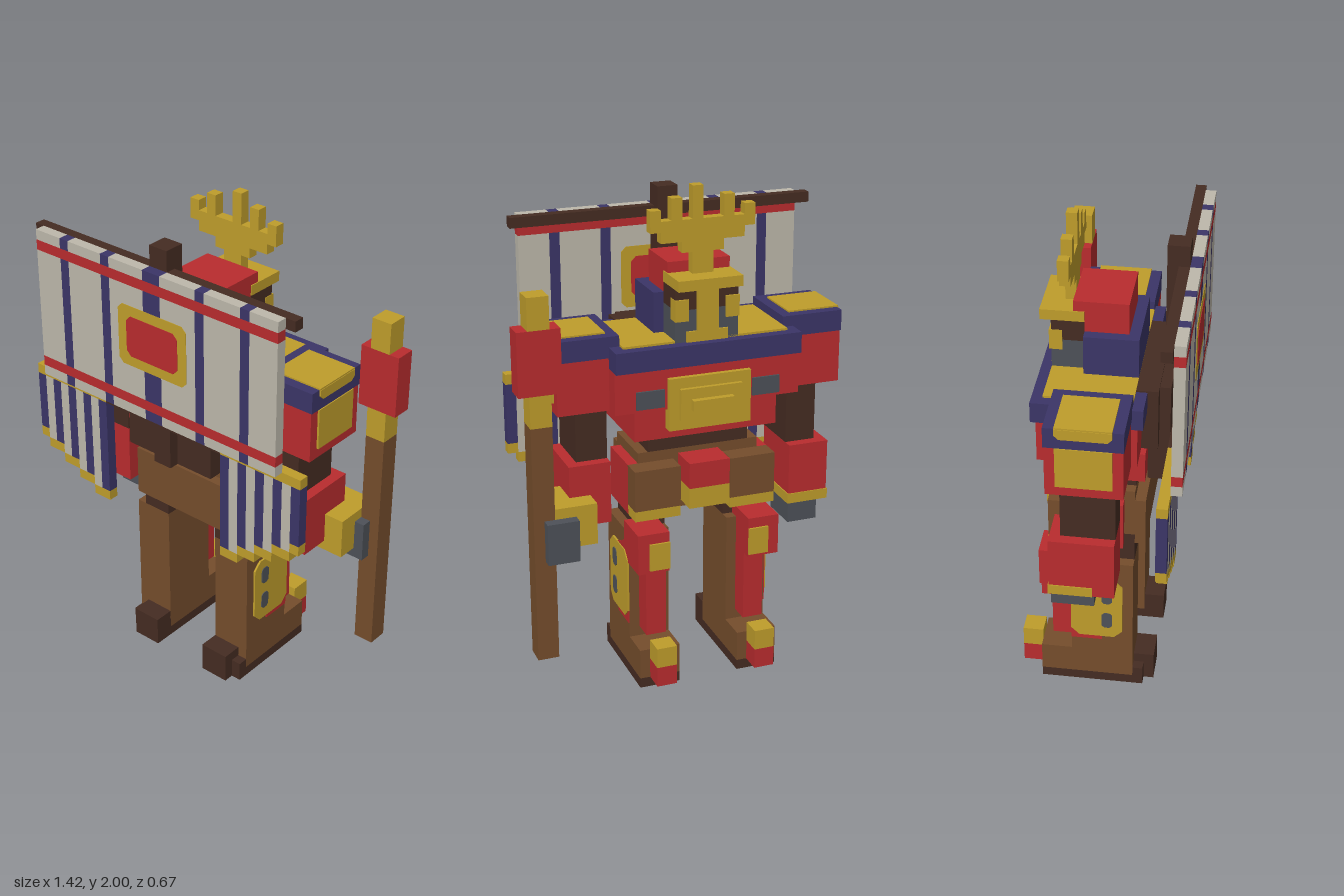
import * as THREE from 'three';

const U = 1 / 24; // one block

const mat = (name, color) => Object.assign(new THREE.MeshStandardMaterial({ color }), { name });

export function createModel() {
  const red = mat('red', 0xb92c2e), gold = mat('gold', 0xbf9d2b), blue = mat('blue', 0x3b3567);
  const dark = mat('dark brown', 0x452c22), brown = mat('brown', 0x754d2c);
  const cloth = mat('cloth', 0xbdb8ab), grey = mat('grey', 0x4d5158);

  const model = new THREE.Group();
  model.name = 'bannerWarrior';

  // Block from its limits, in block units
  function box(name, m, x0, x1, y0, y1, z0, z1) {
    const mesh = new THREE.Mesh(new THREE.BoxGeometry(x1 - x0, y1 - y0, z1 - z0), m);
    mesh.position.set((x0 + x1) / 2, (y0 + y1) / 2, (z0 + z1) / 2);
    mesh.name = name;
    model.add(mesh);
    return mesh;
  }
  // The same block on both sides of the body's middle plane x = -1
  function pair(name, m, x0, x1, ...rest) {
    box(name + 'Left', m, x0, x1, ...rest);
    box(name + 'Right', m, -2 - x1, -2 - x0, ...rest);
  }
  // Thin extruded outline; side plates are drawn with (-z, y)
  function plate(name, m, points, at, depth, sideways) {
    const shape = new THREE.Shape(points.map(p => new THREE.Vector2(...p)));
    const geo = new THREE.ExtrudeGeometry(shape, { depth, bevelEnabled: false });
    if (sideways) geo.rotateY(Math.PI / 2).translate(at, 0, 0);
    else geo.translate(0, 0, at);
    const mesh = new THREE.Mesh(geo, m);
    mesh.name = name;
    model.add(mesh);
  }
  const cut = (a0, a1, b0, b1, c) => [[a0 + c, b0], [a1 - c, b0], [a1, b0 + c], [a1, b1 - c],
    [a1 - c, b1], [a0 + c, b1], [a0, b1 - c], [a0, b0 + c]];
  function sidePlates(name, m, points, x, t) {
    plate(name + 'Left', m, points, x, t, true);
    plate(name + 'Right', m, points, -2 - x - t, t, true);
  }

  // Feet and legs
  pair('sole', dark, 2, 6, 0, 1, -6, 4);
  pair('heelWrap', dark, 2, 6, 1, 2, 3, 4);
  pair('heelBlock', dark, 2, 5, 0, 3, 3.02, 5);
  pair('foot', brown, 2, 6, 1, 4, -6, -3);
  pair('leg', brown, 2, 6, 1, 15, -3, 3);
  pair('toeLower', red, 3, 5, 1, 3, -8, -6);
  pair('toeCap', gold, 3, 5, 3, 5, -8, -6);
  pair('shinGuard', red, 3, 5, 5, 12, -5, -3);
  pair('kneeGuard', red, 3, 6.1, 12, 16, -6, -2);
  pair('kneePlate', gold, 3, 5, 12.3, 15, -6.2, -6);
  pair('thigh', dark, 2, 5, 15, 18, -2, 3);
  sidePlates('legArmour', red, [[0, 5.5], [3, 5.5], [3, 14], [2, 14], [1, 13.4], [0, 13]], 6, 0.1);
  sidePlates('legPanel', gold, cut(-2, 3, 6, 13, 0.8), 6, 0.2);
  for (const y of [7.2, 10.2]) sidePlates('legSlot', grey, cut(-1, 0, y, y + 1.8, 0.25), 6.1, 0.18);

  // Hips
  box('pelvis', brown, -7, 5, 17, 23, -3, 3);
  box('backHipPlate', brown, -7, 5, 17, 22, 3, 4);
  pair('hipPlate', red, 5, 6, 17, 22, -3, 2);
  pair('tasset', brown, 1.5, 6, 18, 22, -5, -3);
  pair('tassetTrim', gold, 1.5, 6, 17, 18, -5, -3);
  box('beltPlate', red, -3, 1, 20, 22.5, -6, -3);
  box('beltPlateTrim', gold, -3, 1, 18, 20, -6, -3);

  // Waist and chest
  box('waist', dark, -6, 4, 23, 28, -3, 3);
  box('lowerChest', red, -8, 6, 25, 28, -5, 4);
  box('upperChest', red, -10, 8, 28, 32, -5.5, 3.5);
  box('collar', blue, -10, 8, 32, 34, -6, 4);
  box('collarTop', gold, -9, 7, 34, 34.2, -5, 3);
  box('chestEmblem', gold, -5, 3, 26, 31, -6, -5);
  box('emblemRaised', gold, -4, 2, 27, 30, -6.4, -6);
  box('emblemBar', gold, -3, 1, 28, 29, -7, -6.4);
  pair('chestVent', grey, 3.3, 6, 28.3, 30, -5.7, -5.5);

  // Backpack and pole
  box('packFrame', dark, -7, 5, 28, 34.15, 3, 5);
  box('pack', dark, -6, 4, 24, 34, 4, 6);
  box('pole', dark, -2, 0, 24, 46, 5, 7);

  // Shoulders and arms
  pair('shoulderPad', red, 7, 12.9, 28, 33, -3.95, 2.95);
  pair('shoulderCap', blue, 7, 13, 33, 35, -4, 3);
  pair('shoulderTop', gold, 8, 13.1, 34.9, 35.15, -3, 2);
  sidePlates('shoulderEdge', gold, [[-1.6, 34], [2.6, 34], [3, 34.4], [3, 35], [-2, 35], [-2, 34.4]], 13, 0.15);
  sidePlates('shoulderPanel', gold, cut(-2, 3, 29, 33, 0.01), 12.9, 0.2);
  pair('upperArm', dark, 8, 11, 22, 28, -3, 2);
  box('leftForearm', red, 8, 12, 17, 23, -4, 2);
  box('leftCuff', gold, 10, 14, 16, 20, -6, -1);
  box('leftHand', grey, 12, 15, 15, 19, -7, -3);
  box('rightForearm', red, -14, -10, 16, 22, -4, 2);
  box('rightCuff', gold, -14.1, -9.9, 16, 17, -4.1, 0);
  box('rightHand', grey, -13, -10, 14, 16, -4, 0);

  // Staff
  box('staffShaft', brown, 14, 16, 5, 28, -6, -4);
  box('staffCollar', gold, 14, 16, 28, 31, -6, -4);
  box('staffHead', red, 13, 17, 31, 37, -6, -4);
  box('staffTip', gold, 14, 16, 37, 40, -6, -4);

  // Head
  box('helmet', red, -4, 2, 34, 41, -3, 2);
  box('neckGuard', blue, -5, 3, 34, 36, 1, 3);
  box('backGuard', blue, -4, 2, 36, 38, 2, 3);
  pair('earGuard', blue, 2, 3, 34, 38, -2, 3);
  box('mask', grey, -4.05, 2.05, 34, 37, -5, -2);
  box('eyeBand', dark, -4.05, 2.05, 37, 39, -5, -2);
  box('brow', gold, -4.1, 2.1, 39, 40, -6, -2);
  box('noseGuard', gold, -2, 0, 35, 39, -5.4, -5);
  pair('cheekPlate', gold, 0.8, 2.1, 36, 38, -5.2, -4);
  box('chinPlate', gold, -3, 1, 34, 35, -5.2, -5);

  // Antler crest: [x0, x1, y0, y1]
  for (const [x0, x1, y0, y1] of [[-2, 0, 40, 42], [-3, 1, 42, 43], [-5, 3, 43, 44], [-6, 4, 44, 45],
    [-6, -5, 45, 46], [-4, -3, 45, 47], [-1, 0, 45, 48], [1, 2, 45, 47], [3, 4, 45, 46]])
    box('crest', gold, x0, x1, y0, y1, -4, -3);

  // Banner: striped cloth between two red bands
  box('bannerBar', dark, -16, 14, 43, 44, 6, 7);
  const edges = [-15, -12, -11, -7, -6, -2, 0, 4, 5, 9, 10, 13];
  for (const [y0, y1] of [[29, 30], [31, 42], [43, 44]])
    for (let i = 0; i < edges.length - 1; i++)
      box('bannerCloth', i % 2 ? blue : cloth, edges[i], edges[i + 1], y0, y1, 7, 8);
  for (const y of [30, 42]) box('bannerBand', red, -15, 13, y, y + 1, 7, 8);
  plate('bannerFrame', gold, cut(-5, 3, 34, 40, 0.5), 6.95, 1.1);
  plate('bannerCentre', red, cut(-4, 2, 35, 39, 0.5), 6.9, 1.2);

  // Stepped side skirts hung from a bar
  box('skirtBar', dark, -8, 6, 28, 29, 6, 7);
  pair('skirtTop', gold, 6, 15, 28, 29, 6, 7);
  for (let i = 0; i < 9; i++) {
    const bottom = 17 + Math.floor(i / 2);
    pair('skirtStripe', i % 2 ? cloth : blue, 6 + i, 7 + i, bottom + 1, 28, 6, 7);
    pair('skirtHem', gold, 6 + i, 7 + i, bottom, bottom + 1, 6, 7);
  }

  model.scale.setScalar(U);
  return model;
}
